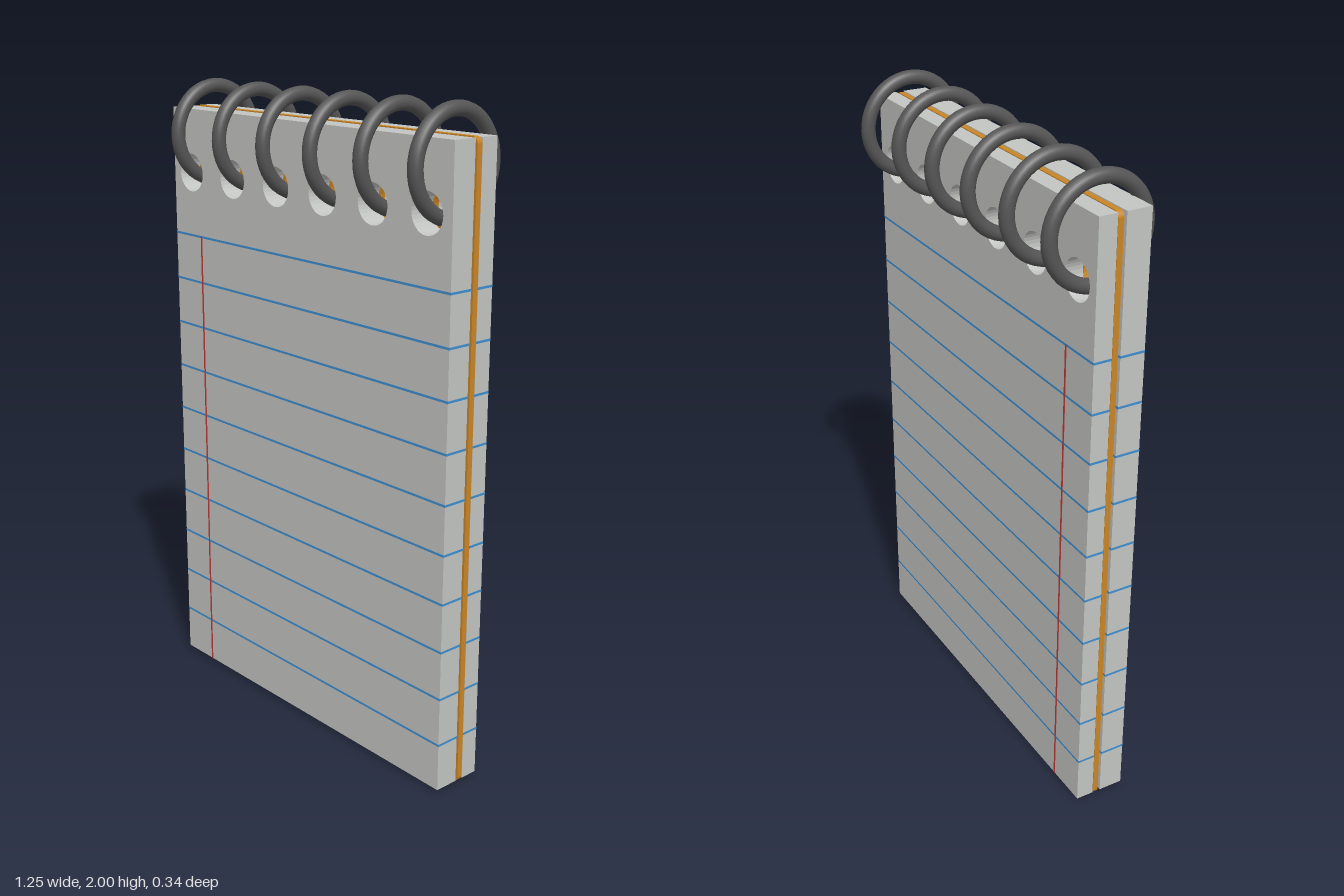
import * as THREE from 'three';

const W = 1.25, BOTTOM = 0.01, TOP = 1.91;
const HOLE_Y = 1.71, HOLE_R = 0.06;
const ringXs = Array.from({ length: 6 }, (_, i) => -0.535 + i * 0.213);

// Upright sheet with rounded corners and a row of punched holes
function punchedSheet(y0, y1, z0, z1, r) {
  const h = W / 2, s = new THREE.Shape();
  s.moveTo(-h + r, y0);
  s.lineTo(h - r, y0);
  if (r) s.absarc(h - r, y0 + r, r, -Math.PI / 2, 0);
  s.lineTo(h, y1 - r);
  if (r) s.absarc(h - r, y1 - r, r, 0, Math.PI / 2);
  s.lineTo(-h + r, y1);
  if (r) s.absarc(-h + r, y1 - r, r, Math.PI / 2, Math.PI);
  s.lineTo(-h, y0 + r);
  if (r) s.absarc(-h + r, y0 + r, r, Math.PI, Math.PI * 1.5);
  for (const x of ringXs) {
    const hole = new THREE.Path();
    hole.absarc(x, HOLE_Y, HOLE_R, 0, Math.PI * 2, true);
    s.holes.push(hole);
  }
  const g = new THREE.ExtrudeGeometry(s, { depth: z1 - z0, bevelEnabled: false, curveSegments: 16 });
  return g.translate(0, 0, z0);
}

export function createModel() {
  const group = new THREE.Group();
  const material = (name, color) => Object.assign(new THREE.MeshStandardMaterial({ color }), { name });
  const paper = material('paper', 0xc3c5c2);
  const card = material('cardboard', 0xc98526);
  const wire = material('darkWire', 0x555555);
  const blue = material('ruleBlue', 0x3f8fd0);
  const red = material('marginRed', 0xc03a35);

  const add = (name, geometry, mat, parent = group) => {
    const mesh = new THREE.Mesh(geometry, mat);
    mesh.name = name;
    parent.add(mesh);
    return mesh;
  };

  // Cardboard divider between the two page blocks
  add('cardboard', punchedSheet(0, TOP + 0.002, -0.003, 0.015, 0.02), card);

  // Page blocks with ruled lines that wrap onto the page edges
  for (const [side, z0, z1] of [['front', 0.023, 0.1], ['back', -0.06, -0.004]]) {
    const block = new THREE.Group();
    block.name = side + 'Pages';
    group.add(block);
    add(side + 'Paper', punchedSheet(BOTTOM, TOP, z0, z1, 0), paper, block);

    const zMid = (z0 + z1) / 2, depth = z1 - z0;
    for (let i = 0; i < 10; i++) {
      add('ruledLine', new THREE.BoxGeometry(W + 0.001, 0.007, depth + 0.001), blue, block)
        .position.set(0, 0.158 + i * 0.15, zMid);
    }
    add('marginLine', new THREE.BoxGeometry(0.007, 1.5, depth + 0.002), red, block)
      .position.set(-0.49, 0.76, zMid);
  }

  // Wire binding rings
  const ringGeometry = new THREE.TorusGeometry(0.147, 0.022, 14, 48).rotateY(Math.PI / 2);
  for (const x of ringXs) add('bindingRing', ringGeometry, wire).position.set(x, 1.831, 0);

  return group;
}
